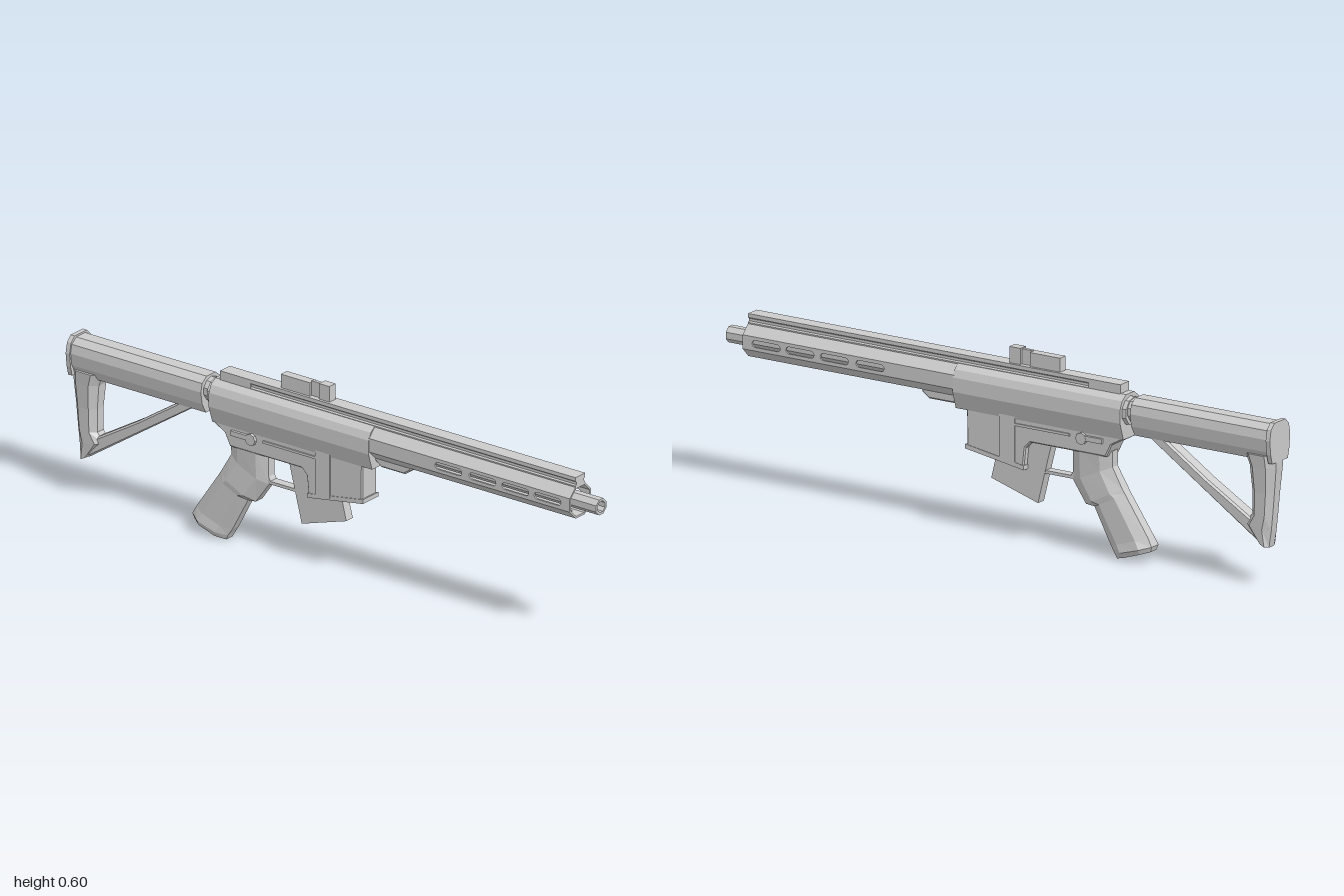
import * as THREE from 'three';

const mat = new THREE.MeshStandardMaterial({ color: 0xcccccc, flatShading: true });

export function createModel() {
  const model = new THREE.Group();

  const add = (name, geo, parent = model) => {
    const m = new THREE.Mesh(geo, mat);
    m.name = name;
    parent.add(m);
    return m;
  };
  const toShape = pts => new THREE.Shape(pts.map(p => new THREE.Vector2(p[0], p[1])));

  // Side profile [z, y] given thickness along x, with an optional chamfer
  const slab = (pts, halfWidth, bevel = 0) => {
    const depth = 2 * (halfWidth - bevel);
    const g = new THREE.ExtrudeGeometry(toShape(pts), {
      depth, bevelEnabled: bevel > 0, bevelSize: bevel, bevelThickness: bevel,
      bevelOffset: -bevel, bevelSegments: 1,
    });
    return g.translate(0, 0, -depth / 2).rotateY(-Math.PI / 2);
  };

  // Half cross-section [x, y], listed top to bottom, mirrored and run along z
  const prism = (half, z0, z1) => {
    const pts = [...half, ...half.slice().reverse().map(([x, y]) => [-x, y])];
    return new THREE.ExtrudeGeometry(toShape(pts), { depth: z1 - z0, bevelEnabled: false })
      .translate(0, 0, z0);
  };

  // Box from ranges
  const box = (x0, x1, y0, y1, z0, z1) =>
    new THREE.BoxGeometry(x1 - x0, y1 - y0, z1 - z0)
      .translate((x0 + x1) / 2, (y0 + y1) / 2, (z0 + z1) / 2);

  // Loft of chamfered sections, top to bottom: [frontZ, frontY, backZ, backY, halfWidth]
  const loft = rows => {
    const outline = [[0, .45], [0, -.45], [.25, -1], [.75, -1], [1, -.45], [1, .45], [.75, 1], [.25, 1]].reverse();
    const pos = [], idx = [];
    const n = outline.length;
    for (const [fz, fy, bz, by, w] of rows)
      for (const [t, s] of outline) pos.push(s * w, fy + (by - fy) * t, fz + (bz - fz) * t);
    for (let r = 0; r < rows.length - 1; r++)
      for (let i = 0; i < n; i++) {
        const a = r * n + i, b = r * n + (i + 1) % n;
        idx.push(a, b + n, a + n, a, b, b + n);
      }
    const last = (rows.length - 1) * n;
    for (let i = 1; i < n - 1; i++) {
      idx.push(0, i + 1, i, last, last + i, last + i + 1);
    }
    // the outline runs clockwise seen from above, so swap corners to face outward
    const x = (pos[3] - pos[0]) * (pos[8] - pos[2]) - (pos[5] - pos[2]) * (pos[6] - pos[0]);
    if (x > 0 === false) for (let i = 0; i < idx.length; i += 3) [idx[i + 1], idx[i + 2]] = [idx[i + 2], idx[i + 1]];
    const g = new THREE.BufferGeometry();
    g.setAttribute('position', new THREE.Float32BufferAttribute(pos, 3));
    g.setIndex(idx);
    const flat = g.toNonIndexed();
    flat.computeVertexNormals();
    return flat;
  };

  // Hollow eight-sided barrel
  const barrel = [[.027, .15], [.027, 1], [.019, 1], [.019, .9], [0, .9]].map(p => new THREE.Vector2(...p));
  add('barrel', new THREE.LatheGeometry(barrel, 8, Math.PI / 8).rotateX(Math.PI / 2).translate(0, .47, 0));

  // Handguard: eight flat panels, slotted on the sides and underneath
  const handguard = new THREE.Group();
  handguard.name = 'handguard';
  model.add(handguard);
  const corners = [[.022, .522], [.052, .492], [.052, .448], [.022, .418],
    [-.022, .418], [-.052, .448], [-.052, .492], [-.022, .522]];
  const wall = .006;
  corners.forEach(([x0, y0], i) => {
    const [x1, y1] = corners[(i + 1) % 8];
    const h = Math.hypot(x1 - x0, y1 - y0) / 2;
    const s = toShape([[.15, -h], [.92, -h], [.92, h], [.15, h]]);
    if (i % 2 === 1 && i !== 7) {
      for (const c of [.835, .712, .587, .457]) {
        const hole = new THREE.Path();
        hole.absarc(c + .04, 0, .011, -Math.PI / 2, Math.PI / 2, false);
        hole.absarc(c - .04, 0, .011, Math.PI / 2, Math.PI * 1.5, false);
        s.holes.push(hole);
      }
    }
    const g = new THREE.ExtrudeGeometry(s, { depth: wall, bevelEnabled: false, curveSegments: 4 });
    const out = new THREE.Vector3(-(y1 - y0), x1 - x0, 0).normalize();
    const along = new THREE.Vector3(0, 0, 1);
    const across = new THREE.Vector3().crossVectors(out, along);
    g.translate(0, 0, -wall);
    g.applyMatrix4(new THREE.Matrix4().makeBasis(along, across, out)
      .setPosition((x0 + x1) / 2, (y0 + y1) / 2, 0));
    add('handguardPanel', g, handguard);
  });
  add('handguardBracket', slab([[.15, .425], [.29, .425], [.29, .41], [.265, .392], [.175, .392], [.15, .41]], .021, .005));

  // Top rail with undercut sides, and the sight on it
  add('topRail', prism([[.024, .552], [.024, .54], [.019, .536], [.019, .528], [.024, .524], [.024, .515]], -.32, .92));
  add('railRear', prism([[.024, .552], [.024, .515]], -.435, -.32));
  add('sightFront', box(-.015, .015, .55, .603, -.065, -.025));
  add('sightWeb', box(-.006, .006, .55, .6, -.1, -.065));
  add('sightRear', box(-.015, .015, .55, .596, -.21, -.1));

  // Receiver
  add('upperReceiver', prism([[.022, .524], [.044, .508], [.054, .485], [.055, .44], [.037, .385]], -.455, .155));
  add('lowerReceiver', slab([[.155, .44], [.145, .42], [.117, .4], [.115, .27], [-.09, .237], [-.097, .3], [-.115, .32],
    [-.39, .32], [-.41, .36], [-.455, .385], [-.455, .44]], .036, .004));
  add('magazineWellLip', slab([[.12, .278], [.12, .264], [-.093, .23], [-.093, .244]], .038));
  for (const s of [1, -1]) {
    const side = new THREE.Group();
    side.name = s > 0 ? 'leftDetails' : 'rightDetails';
    model.add(side);
    const x = s * .037;
    add('wellRib', box(x - .003, x + .003, .25, .42, -.06, -.005), side);
    add('receiverRidge', box(x - .003, x + .003, .365, .373, -.26, -.06), side);
    add('selectorHub', new THREE.CylinderGeometry(.019, .019, .016, 8).rotateZ(Math.PI / 2)
      .translate(s * .038, .366, -.305), side);
    add('selectorLever', box(s * .04 - .005, s * .04 + .005, .361, .377, -.38, -.3), side);
  }

  // Magazine and trigger guard
  add('magazine', slab([[.015, .28], [.04, .18], [-.13, .128], [-.18, .325], [-.05, .34]], .016));
  add('triggerGuard', slab([[-.155, .235], [-.25, .235], [-.258, .25], [-.258, .33], [-.268, .33], [-.268, .225],
    [-.155, .225]], .015));

  // Pistol grip
  add('grip', loft([
    [-.257, .33, -.4, .335, .034], [-.257, .222, -.4, .285, .031], [-.305, .155, -.437, .222, .036],
    [-.335, .152, -.447, .207, .034], [-.395, .04, -.53, .085, .036], [-.41, .018, -.545, .058, .041],
    [-.418, .002, -.54, .042, .034]]));

  // Shoulder stock: neck, tube, end lip, rear leg and diagonal strut
  add('stockNeck', new THREE.CylinderGeometry(.038, .038, .06, 10).rotateX(Math.PI / 2).translate(0, .475, -.475));
  add('receiverCollar', new THREE.CylinderGeometry(.046, .046, .03, 10).rotateX(Math.PI / 2).translate(0, .47, -.455));
  add('stockTube', prism([[.022, .52], [.044, .503], [.05, .475], [.044, .435], [.025, .402]], -.99, -.488));
  add('stockEndLip', prism([[.03, .526], [.048, .508], [.055, .475], [.05, .43], [.042, .4]], -1, -.985));
  add('stockLeg', loft([
    [-.885, .42, -1, .42, .044], [-.902, .38, -.998, .38, .04], [-.91, .3, -.99, .3, .034],
    [-.91, .225, -.983, .225, .033], [-.885, .195, -.978, .18, .032], [-.94, .14, -.969, .126, .03]]));
  add('stockStrut', slab([[-.53, .41], [-.59, .41], [-.75, .305], [-.91, .21], [-.95, .16], [-.94, .138]], .024, .006));

  return model;
}
